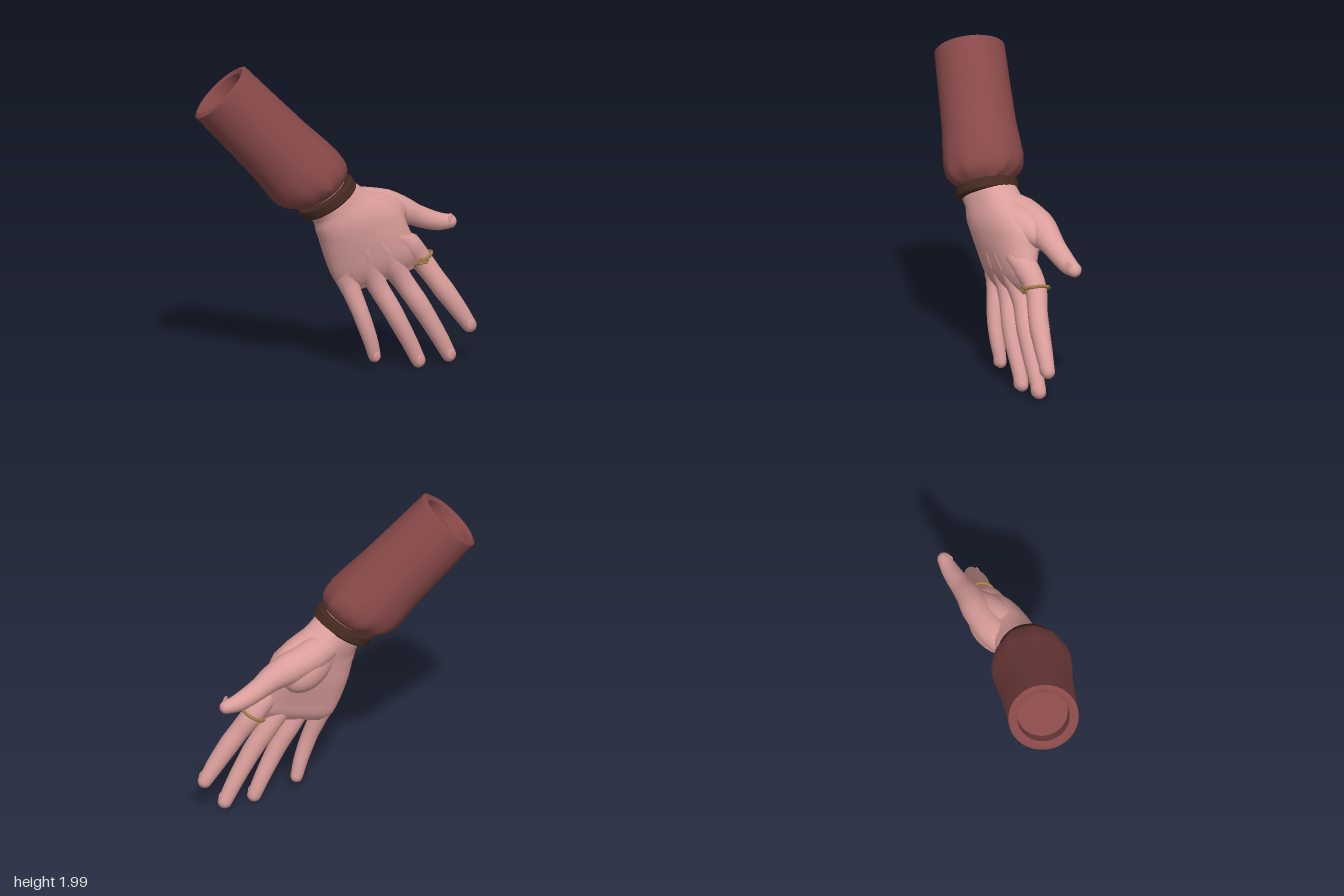
import * as THREE from 'three';
import { toCreasedNormals } from 'three/addons/utils/BufferGeometryUtils.js';

const V = (x, y, z) => new THREE.Vector3(x, y, z);
const mat = (name, color) => Object.assign(new THREE.MeshStandardMaterial({ color }), { name });

// Sides of a ring that faces along d, with n as the rough "back of hand" direction
function frame(d, n) {
  const u = n.clone().cross(d).normalize();
  return { u, v: d.clone().cross(u).normalize() };
}

// Skin over rings {c, u, v}; both ends are closed by a fan
function loft(rings, sides, shape = () => 1, crease = 0.7) {
  const pos = [], idx = [];
  rings.forEach((r, i) => {
    for (let j = 0; j < sides; j++) {
      const a = (j / sides) * Math.PI * 2, k = shape(a, i);
      const p = r.c.clone().addScaledVector(r.u, Math.cos(a) * k).addScaledVector(r.v, Math.sin(a) * k);
      pos.push(p.x, p.y, p.z);
    }
  });
  const last = rings.length - 1, c0 = rings.length * sides;
  pos.push(...rings[0].c.toArray(), ...rings[last].c.toArray());
  for (let j = 0; j < sides; j++) {
    const k = (j + 1) % sides;
    for (let i = 0; i < last; i++) {
      const a = i * sides + j, b = i * sides + k;
      idx.push(a, b, b + sides, a, b + sides, a + sides);
    }
    idx.push(c0, k, j, c0 + 1, last * sides + j, last * sides + k);
  }
  const g = new THREE.BufferGeometry();
  g.setAttribute('position', new THREE.Float32BufferAttribute(pos, 3));
  g.setIndex(idx);
  return toCreasedNormals(g, crease);
}

// Tapered finger through keys [x, y, z, radius] with a rounded tip
function fingerRings(keys, n) {
  const curve = new THREE.CatmullRomCurve3(keys.map(k => V(k[0], k[1], k[2])));
  const rings = [], steps = (keys.length - 1) * 3;
  const add = (c, d, r) => {
    const f = frame(d, n);
    rings.push({ c, u: f.u.multiplyScalar(r), v: f.v.multiplyScalar(r * 0.95) });
  };
  for (let i = 0; i <= steps; i++) {
    const t = i / steps, s = t * (keys.length - 1), k = Math.min(Math.floor(s), keys.length - 2);
    add(curve.getPoint(t), curve.getTangent(t), THREE.MathUtils.lerp(keys[k][3], keys[k + 1][3], s - k));
  }
  const d = curve.getTangent(1), end = curve.getPoint(1), r = keys[keys.length - 1][3];
  for (const a of [0.4, 0.8, 1.15, 1.42]) add(end.clone().addScaledVector(d, r * Math.sin(a)), d, r * Math.cos(a));
  return rings;
}

export function createModel() {
  const group = new THREE.Group();
  const skin = mat('skin', 0xdb9f9c), cloth = mat('sleeve red', 0x874848);
  const leather = mat('dark leather', 0x452a20), gold = mat('old gold', 0xa07c48);
  const add = (name, geo, m, parent = group) => {
    const mesh = new THREE.Mesh(geo, m);
    mesh.name = name;
    parent.add(mesh);
    return mesh;
  };

  // Sleeve: recessed opening at the top, gathered into the band below
  const top = V(-0.655, 1.85, -0.315), wrist = V(-0.12, 1.15, 0.1);
  const axis = wrist.clone().sub(top), dir = axis.clone().normalize();
  const bandDir = V(0.47, -0.83, 0.28).normalize();
  const profile = [[0.09, 0.16], [0.015, 0.165], [0, 0.195], [0.012, 0.222], [0.3, 0.228], [0.55, 0.235],
    [0.7, 0.248], [0.79, 0.255], [0.85, 0.248], [0.89, 0.232], [0.925, 0.205], [0.955, 0.165]];
  const sleeveRings = profile.map(([t, r]) => {
    const f = frame(dir.clone().lerp(bandDir, THREE.MathUtils.smoothstep(t, 0.5, 0.9)).normalize(), V(0, 0, 1));
    return { c: top.clone().addScaledVector(axis, t), u: f.u.multiplyScalar(r), v: f.v.multiplyScalar(r) };
  });
  const folds = (a, i) => 1 + (i > 6 && i < 11 ? 0.014 * (i - 6) * (0.6 * Math.sin(11 * a) + 0.4 * Math.sin(7 * a + 1)) : 0);
  add('sleeve', loft(sleeveRings, 44, folds, 0.6), cloth);

  // Wrist band
  const bandProfile = [[0.15, -0.036], [0.19, -0.036], [0.2, -0.026], [0.2, 0.026], [0.19, 0.036], [0.15, 0.036], [0.15, -0.036]];
  const band = add('wristBand', toCreasedNormals(
    new THREE.LatheGeometry(bandProfile.map(p => new THREE.Vector2(...p)), 32), 0.6), leather);
  band.quaternion.setFromUnitVectors(V(0, 1, 0), bandDir);
  band.position.copy(wrist);

  const hand = new THREE.Group();
  hand.name = 'hand';
  group.add(hand);

  // Palm: rings as centre, half width vector, half thickness; it spreads into the thumb web
  const palm = [
    [-0.13, 1.17, 0.1, 0.155, 0.085, 0.0, 0.14],
    [-0.03, 1.08, 0.125, 0.19, 0.07, 0.005, 0.14],
    [0.08, 0.985, 0.165, 0.285, 0.055, 0.045, 0.145],
    [0.128, 0.85, 0.185, 0.28, 0.055, 0.08, 0.13],
    [0.175, 0.72, 0.208, 0.268, 0.07, 0.1, 0.1],
    [0.21, 0.63, 0.215, 0.245, 0.075, 0.1, 0.07],
    [0.23, 0.575, 0.225, 0.2, 0.06, 0.085, 0.03],
  ];
  const centres = new THREE.CatmullRomCurve3(palm.map(p => V(p[0], p[1], p[2])));
  const halves = new THREE.CatmullRomCurve3(palm.map(p => V(p[3], p[4], p[5])));
  const palmRings = [];
  for (let i = 0; i <= 18; i++) {
    const t = i / 18, s = t * 6, k = Math.min(Math.floor(s), 5), u = halves.getPoint(t);
    const v = centres.getTangent(t).cross(u).normalize()
      .multiplyScalar(THREE.MathUtils.lerp(palm[k][6], palm[k + 1][6], s - k));
    palmRings.push({ c: centres.getPoint(t), u, v });
  }
  add('palm', loft(palmRings, 28, a => 1 + 0.08 * Math.sin(2 * a) ** 2), skin, hand);

  // Soft pad at the thumb root and the web that joins the thumb to the back of the hand
  const pad = (name, p, s, rz) => {
    const m = add(name, new THREE.SphereGeometry(1, 24, 16), skin, hand);
    m.position.set(...p);
    m.scale.set(...s);
    m.rotation.z = rz;
  };
  pad('thumbPad', [0.19, 0.98, 0.115], [0.21, 0.15, 0.123], -0.4);
  pad('thumbWeb', [0.24, 1.025, 0.18], [0.25, 0.105, 0.11], -0.3);

  // Fingers start as tendons on the back of the hand
  const back = V(-0.3, 0.05, 0.95);
  const fingers = {
    indexFinger: [[0.08, 1.0, 0.24, 0.035], [0.28, 0.86, 0.295, 0.055], [0.4, 0.78, 0.29, 0.085], [0.49, 0.68, 0.305, 0.072],
      [0.555, 0.565, 0.36, 0.066], [0.61, 0.47, 0.4, 0.067], [0.69, 0.34, 0.445, 0.058], [0.75, 0.24, 0.475, 0.047]],
    middleFinger: [[0.0, 1.0, 0.23, 0.035], [0.17, 0.82, 0.28, 0.05], [0.27, 0.69, 0.26, 0.08], [0.36, 0.555, 0.285, 0.067],
      [0.44, 0.41, 0.34, 0.065], [0.5, 0.3, 0.37, 0.06], [0.57, 0.17, 0.4, 0.054], [0.625, 0.062, 0.42, 0.047]],
    ringFinger: [[-0.05, 1.0, 0.21, 0.035], [0.06, 0.8, 0.25, 0.045], [0.13, 0.67, 0.215, 0.075], [0.19, 0.54, 0.235, 0.065],
      [0.255, 0.4, 0.285, 0.062], [0.305, 0.29, 0.315, 0.058], [0.37, 0.16, 0.34, 0.052], [0.42, 0.048, 0.36, 0.046]],
    littleFinger: [[-0.1, 0.96, 0.18, 0.035], [-0.05, 0.76, 0.185, 0.045], [-0.005, 0.63, 0.145, 0.072], [0.025, 0.52, 0.175, 0.06],
      [0.055, 0.4, 0.215, 0.054], [0.08, 0.31, 0.235, 0.052], [0.115, 0.2, 0.25, 0.047], [0.142, 0.105, 0.255, 0.04]],
    thumb: [[-0.02, 1.08, 0.1, 0.1], [0.18, 1.05, 0.095, 0.112], [0.36, 1.015, 0.13, 0.105], [0.46, 0.98, 0.165, 0.088],
      [0.55, 0.935, 0.19, 0.072], [0.63, 0.9, 0.213, 0.066], [0.71, 0.873, 0.238, 0.058], [0.78, 0.866, 0.262, 0.046]],
  };
  for (const [name, keys] of Object.entries(fingers)) {
    const n = name === 'thumb' ? V(0.1, 0.5, 0.8) : back;
    add(name, loft(fingerRings(keys, n), 14), skin, hand);

    // Nail, lying almost flush
    const [x, y, z, r] = keys[7], d = V(x, y, z).sub(V(...keys[6].slice(0, 3))).normalize(), f = frame(d, n);
    const nail = add(name + 'Nail', new THREE.SphereGeometry(1, 12, 8), skin, hand);
    nail.quaternion.setFromRotationMatrix(new THREE.Matrix4().makeBasis(f.u, d, f.v));
    nail.scale.set(r * 0.6, r * 0.75, r * 0.15);
    nail.position.set(x, y, z).addScaledVector(f.v, r * 0.92).addScaledVector(d, -r * 0.2);
  }

  // Finger ring with a small knotted setting
  const ring = new THREE.Group();
  ring.name = 'fingerRing';
  ring.position.set(0.493, 0.685, 0.303);
  const rf = frame(V(0.4, -0.86, 0.28).normalize(), V(-0.3, 0.05, 0.95));
  ring.quaternion.setFromRotationMatrix(new THREE.Matrix4().makeBasis(rf.u, rf.v, rf.u.clone().cross(rf.v)));
  group.add(ring);
  add('ringLoop', new THREE.TorusGeometry(0.079, 0.011, 8, 28), gold, ring);
  for (const side of [-1, 1]) {
    const knot = add('ringKnot', new THREE.TorusGeometry(0.016, 0.007, 6, 14), gold, ring);
    knot.position.set(-0.02 + side * 0.016, 0.08, side * 0.006);
    knot.rotation.x = Math.PI / 2;
  }
  return group;
}
